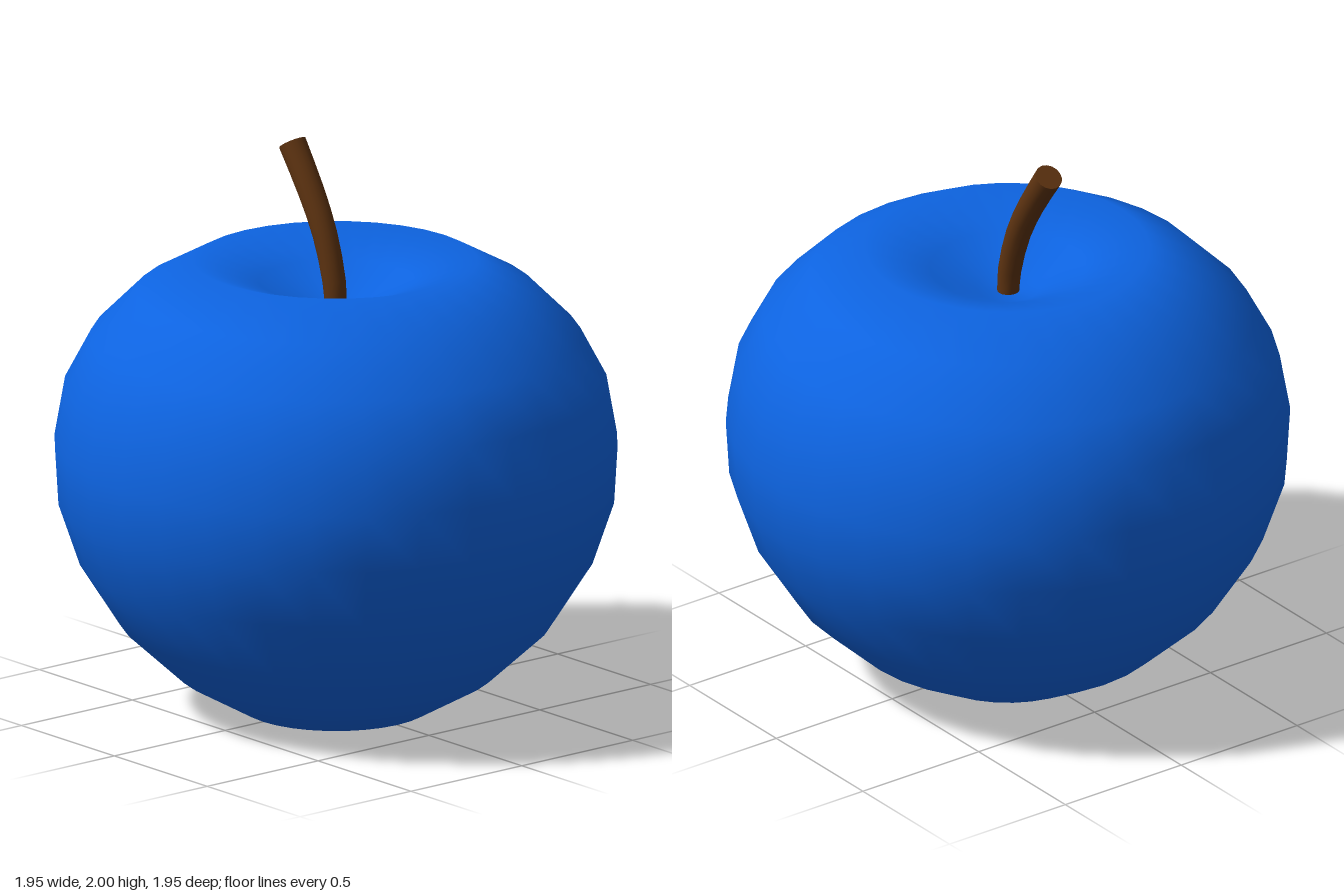
import * as THREE from 'three';

// Bends an upright cylinder along a curve lying in the yz plane, caps included.
function bendAlong(geometry, curve) {
  const pos = geometry.attributes.position;
  const nor = geometry.attributes.normal;
  const p = new THREE.Vector3();
  const n = new THREE.Vector3();
  const sideways = new THREE.Vector3(1, 0, 0);
  const frame = new THREE.Matrix4();
  for (let i = 0; i < pos.count; i++) {
    p.fromBufferAttribute(pos, i);
    n.fromBufferAttribute(nor, i);
    const t = THREE.MathUtils.clamp(p.y + 0.5, 0, 1);
    const tangent = curve.getTangent(t);
    frame.makeBasis(sideways, tangent, new THREE.Vector3().crossVectors(sideways, tangent));
    p.setY(0).applyMatrix4(frame).add(curve.getPoint(t));
    n.transformDirection(frame);
    pos.setXYZ(i, p.x, p.y, p.z);
    nor.setXYZ(i, n.x, n.y, n.z);
  }
  return geometry;
}

export function createModel() {
  const group = new THREE.Group();
  group.name = 'apple';

  // Body: half section from the bottom hollow round to the top hollow
  const profile = [
    [0, 0.18], [0.08, 0.165], [0.19, 0.09], [0.33, 0], [0.55, 0.125],
    [0.75, 0.31], [0.89, 0.53], [0.965, 0.75], [0.977, 0.95], [0.94, 1.16],
    [0.85, 1.33], [0.69, 1.49], [0.49, 1.6], [0.27, 1.525], [0.11, 1.445], [0, 1.43],
  ].map(([r, y]) => new THREE.Vector2(r, y));
  const body = new THREE.Mesh(
    new THREE.LatheGeometry(profile, 32),
    new THREE.MeshStandardMaterial({ color: 0x0d63e0 })
  );
  body.name = 'fruitBody';
  group.add(body);

  // Stem: rises from the hollow, leans back and widens toward its tip
  const path = new THREE.CatmullRomCurve3([
    new THREE.Vector3(0, 1.42, 0),
    new THREE.Vector3(0, 1.52, -0.01),
    new THREE.Vector3(0, 1.68, -0.06),
    new THREE.Vector3(0, 1.82, -0.135),
    new THREE.Vector3(0, 1.97, -0.235),
  ]);
  const stem = new THREE.Mesh(
    bendAlong(new THREE.CylinderGeometry(0.049, 0.038, 1, 16, 8), path),
    new THREE.MeshStandardMaterial({ color: 0x5c3210 })
  );
  stem.name = 'stem';
  group.add(stem);

  return group;
}
